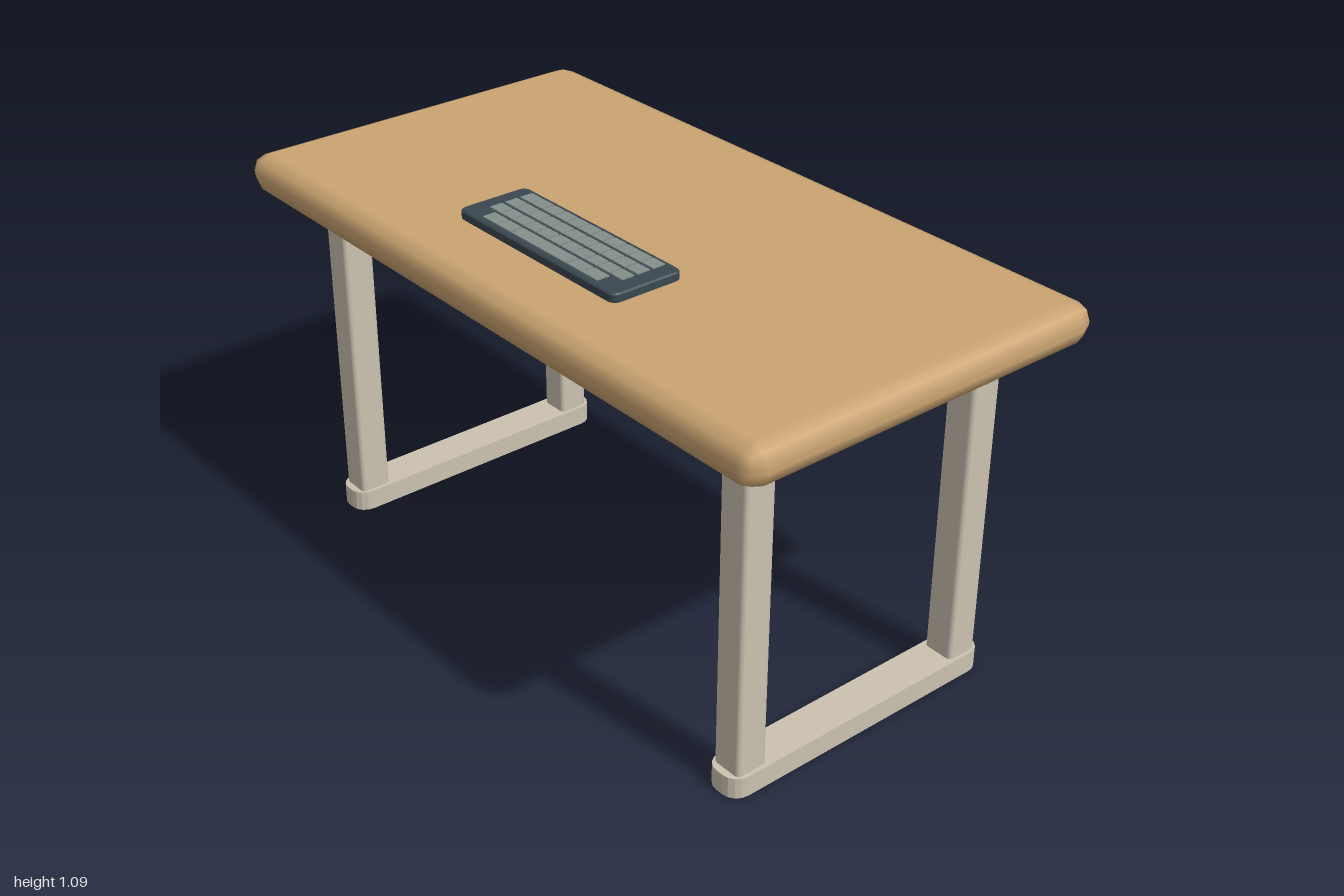
import * as THREE from 'three';
import { RoundedBoxGeometry } from 'three/addons/geometries/RoundedBoxGeometry.js';

const mat = (name, color, flatShading = false) => {
  const m = new THREE.MeshStandardMaterial({ color, flatShading });
  m.name = name;
  return m;
};

// Box with eased edges, given by its centre and size
function easedBox(name, material, [x, y, z], [w, h, d], radius) {
  const mesh = new THREE.Mesh(new RoundedBoxGeometry(w, h, d, 1, radius), material);
  mesh.position.set(x, y, z);
  mesh.name = name;
  return mesh;
}

// Upright slab with rounded plan corners, standing on y = 0
function slabGeometry(w, d, h, r, curveSegments, bevel = 0) {
  const a = w / 2 - bevel, b = d / 2 - bevel;
  const s = new THREE.Shape();
  s.moveTo(-a + r, -b);
  s.lineTo(a - r, -b);
  s.absarc(a - r, -b + r, r, -Math.PI / 2, 0);
  s.absarc(a - r, b - r, r, 0, Math.PI / 2);
  s.absarc(-a + r, b - r, r, Math.PI / 2, Math.PI);
  s.absarc(-a + r, -b + r, r, Math.PI, Math.PI * 1.5);
  const g = new THREE.ExtrudeGeometry(s, {
    depth: h - 2 * bevel, curveSegments, bevelEnabled: bevel > 0,
    bevelSize: bevel, bevelThickness: bevel, bevelSegments: 1,
  });
  return g.rotateX(-Math.PI / 2).translate(0, bevel, 0);
}

export function createModel() {
  const wood = mat('lightWood', 0xcba471);
  const brown = mat('brownTray', 0x8b614c);
  const metal = mat('beigeMetal', 0xcbc1b0);
  const dark = mat('darkSlate', 0x3a4850);
  const grey = mat('keyGrey', 0x84908c);

  const desk = new THREE.Group();
  desk.name = 'desk';

  // Top and the tray beneath it
  desk.add(easedBox('tabletop', wood, [0, 1.0045, 0], [2, 0.109, 1.07], 0.05));
  desk.add(easedBox('tray', brown, [0, 0.923, -0.128], [1.71, 0.09, 0.31], 0.028));

  // Two leg frames: a foot bar carrying two posts
  for (const side of [-1, 1]) {
    const frame = new THREE.Group();
    frame.name = side > 0 ? 'leftLegFrame' : 'rightLegFrame';
    frame.position.x = side * 0.8;
    const foot = new THREE.Mesh(slabGeometry(0.108, 0.84, 0.058, 0.044, 2), metal);
    foot.name = 'foot';
    frame.add(foot);
    for (const end of [-1, 1]) {
      frame.add(easedBox(end > 0 ? 'frontLeg' : 'backLeg', metal,
        [0, 0.491, end * 0.356], [0.086, 0.922, 0.089], 0.011));
    }
    desk.add(frame);
  }

  // Keyboard
  const keyboard = new THREE.Group();
  keyboard.name = 'keyboard';
  keyboard.position.set(0, 1.055, 0.229);
  const body = new THREE.Mesh(slabGeometry(0.614, 0.208, 0.027, 0.018, 3, 0.004), dark);
  body.name = 'keyboardBody';
  keyboard.add(body);

  const addKey = (x, z, w) => {
    const key = new THREE.Mesh(new THREE.BoxGeometry(w, 0.005, 0.037), grey);
    key.position.set(x, 0.0275, z);
    key.name = 'key';
    keyboard.add(key);
  };
  for (let row = 0; row < 3; row++) {
    for (let col = -5; col <= 5; col++) addKey(col * 0.0477, -0.07 + row * 0.0462, 0.0427);
  }
  // Bottom row with the space bar
  addKey(0, 0.0686, 0.213);
  for (const x of [-0.198, -0.139, 0.139, 0.198]) addKey(x, 0.0686, 0.054);
  desk.add(keyboard);

  return desk;
}
